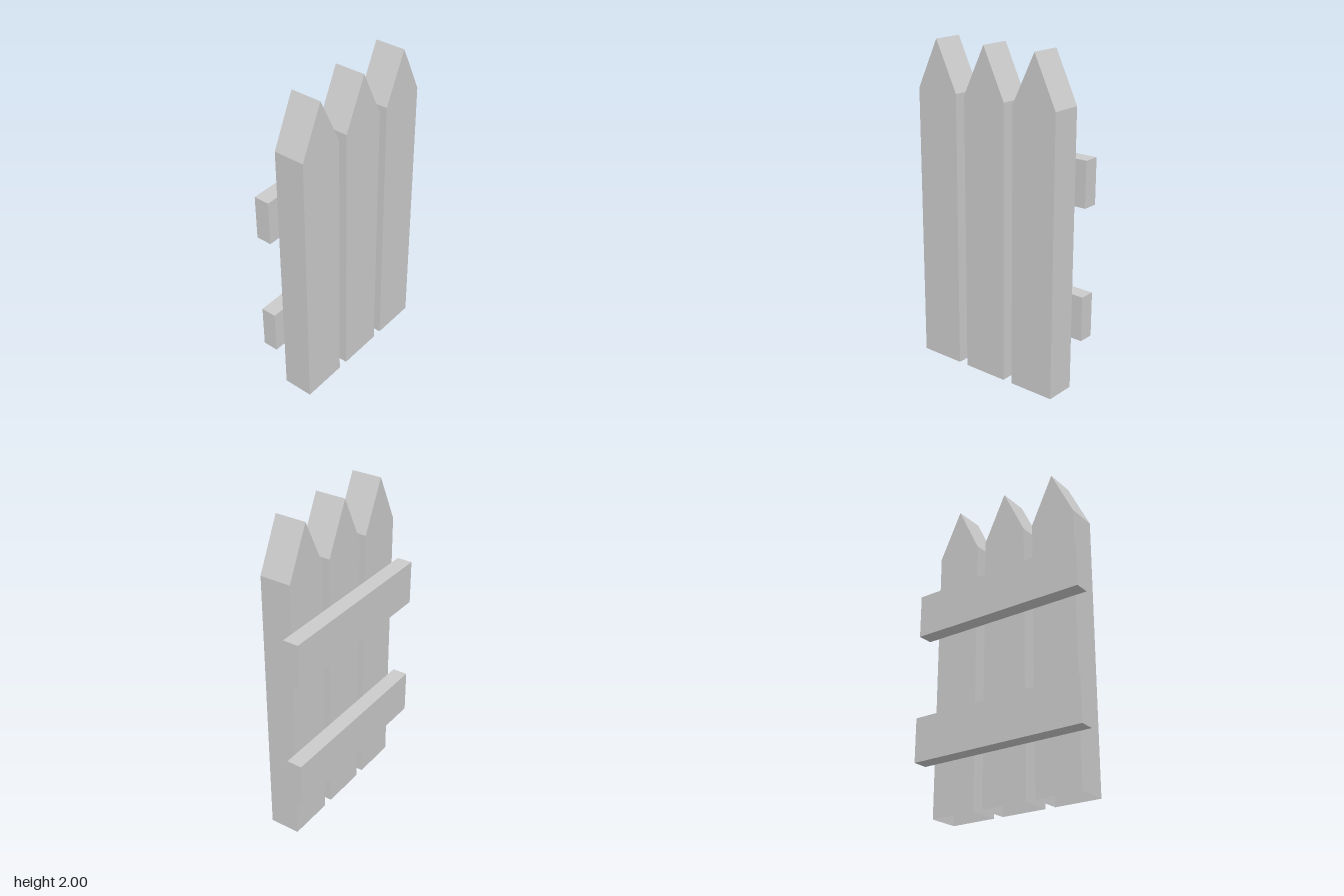
import * as THREE from 'three';

const material = new THREE.MeshStandardMaterial({ color: 0xcccccc, flatShading: true, side: THREE.DoubleSide });

const BACK = -0.143, JOINT = -0.047, FRONT = 0.143;

// Pointed board, hollow underneath: the extruded outline without its bottom face
function picketGeometry(halfWidth, shoulder, height, depth) {
  const outline = new THREE.Shape([
    new THREE.Vector2(-halfWidth, 0),
    new THREE.Vector2(halfWidth, 0),
    new THREE.Vector2(halfWidth, shoulder),
    new THREE.Vector2(0, height),
    new THREE.Vector2(-halfWidth, shoulder),
  ]);
  const solid = new THREE.ExtrudeGeometry(outline, { depth, bevelEnabled: false });
  const p = solid.attributes.position;
  const kept = [];
  for (let i = 0; i < p.count; i += 3) {
    const onGround = [0, 1, 2].every((k) => Math.abs(p.getY(i + k)) < 1e-6);
    if (!onGround) kept.push(i, i + 1, i + 2);
  }
  solid.setIndex(kept);
  solid.clearGroups();
  return solid.toNonIndexed();
}

export function createModel() {
  const fence = new THREE.Group();
  fence.name = 'picketFence';

  // Three upright pickets
  const board = picketGeometry(0.146, 1.7, 2, FRONT - JOINT);
  [['rightPicket', -0.355], ['middlePicket', 0], ['leftPicket', 0.355]].forEach(([name, x]) => {
    const picket = new THREE.Mesh(board, material);
    picket.name = name;
    picket.position.set(x, 0, JOINT);
    fence.add(picket);
  });

  // Two horizontal rails behind the pickets
  const bar = new THREE.BoxGeometry(1.146, 0.275, JOINT - BACK);
  [['lowerRail', 0.462], ['upperRail', 1.271]].forEach(([name, y]) => {
    const rail = new THREE.Mesh(bar, material);
    rail.name = name;
    rail.position.set(0, y, (BACK + JOINT) / 2);
    fence.add(rail);
  });

  return fence;
}
